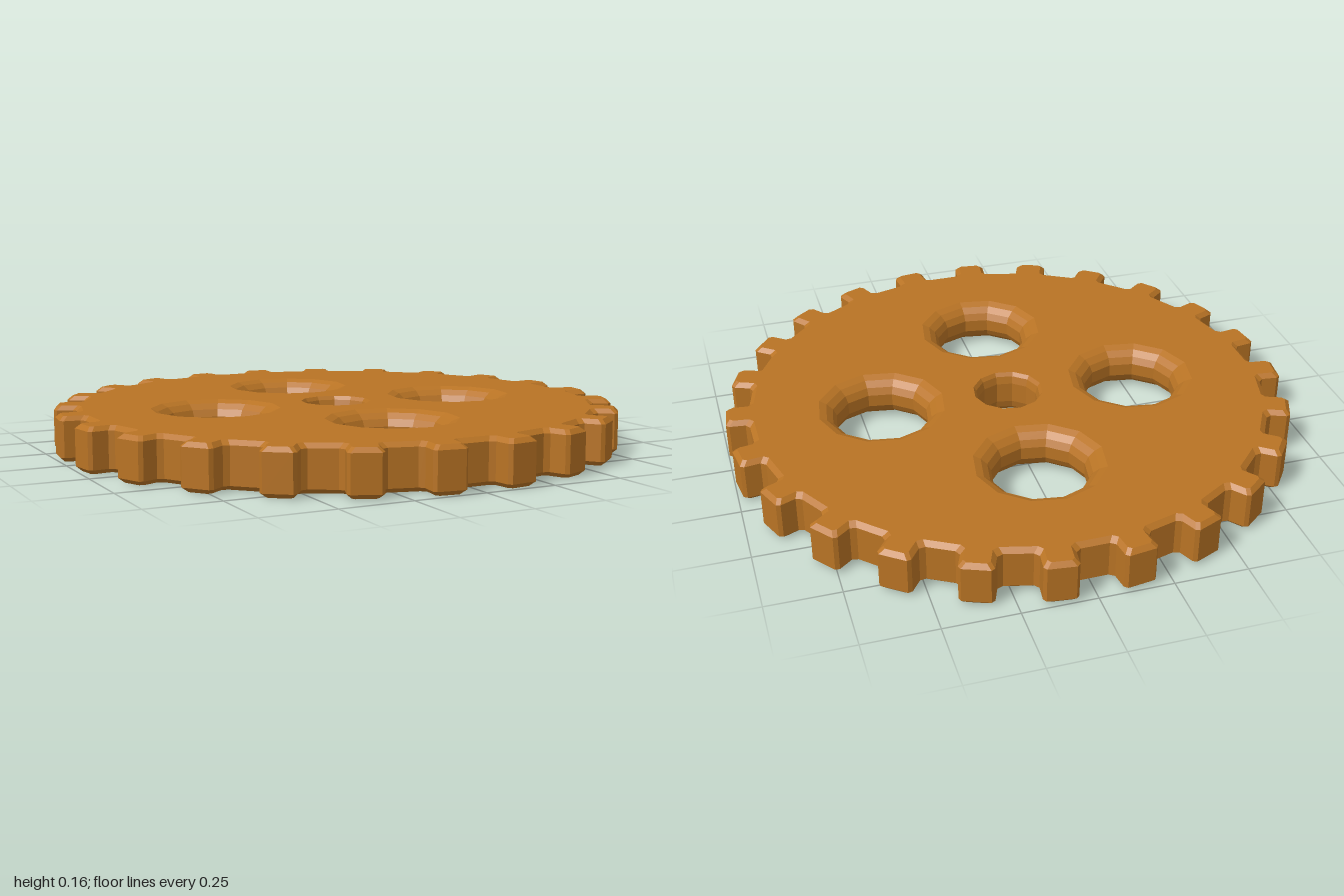
import * as THREE from 'three';

const HEIGHT = 0.155;
const TEETH = 24;
const SIDES = 12;
const deg = Math.PI / 180;

// Plan points are (x, v) with v = -z, counter-clockwise seen from above.
function circle(cx, cv, r) {
  const pts = [];
  for (let i = 0; i < SIDES; i++) {
    const a = (i / SIDES) * Math.PI * 2 + 0.1;
    pts.push(new THREE.Vector2(cx + r * Math.cos(a), cv + r * Math.sin(a)));
  }
  return pts;
}

// Toothed outline, shrunk by an inset for the chamfered edges
function gearOutline(inset) {
  const tip = 1 - inset, root = 0.917 - inset, w = 0.057 - inset;
  const half = [[root, w + 0.016], [root + 0.015, w], [tip - 0.012, w], [tip, w - 0.01]];
  const tooth = [
    ...half.map(([r, t]) => [r, -t]),
    ...half.slice().reverse(),
  ];
  const pts = [];
  for (let k = 0; k < TEETH; k++) {
    const a = ((k + 0.5) * 360 / TEETH + 0.7) * deg;
    for (const [r, t] of tooth) {
      pts.push(new THREE.Vector2(r, t).rotateAround(new THREE.Vector2(), a));
    }
  }
  return pts;
}

// Skin between successive rings { y, pts }: upward faces out, downward faces in
function loft(rings) {
  const pos = [];
  const put = (ring, i) => {
    const p = ring.pts[i % ring.pts.length];
    pos.push(p.x, ring.y, -p.y);
  };
  for (let r = 0; r + 1 < rings.length; r++) {
    const a = rings[r], b = rings[r + 1];
    for (let i = 0; i < a.pts.length; i++) {
      put(a, i); put(a, i + 1); put(b, i + 1);
      put(a, i); put(b, i + 1); put(b, i);
    }
  }
  const g = new THREE.BufferGeometry();
  g.setAttribute('position', new THREE.Float32BufferAttribute(pos, 3));
  g.computeVertexNormals();
  return g;
}

export function createModel() {
  const group = new THREE.Group();
  group.name = 'gearWheel';
  const bronze = new THREE.MeshStandardMaterial({ color: 0xb87324 });
  bronze.name = 'bronze';
  bronze.flatShading = true;

  const add = (name, geometry) => {
    const mesh = new THREE.Mesh(geometry, bronze);
    mesh.name = name;
    group.add(mesh);
    return mesh;
  };

  // Toothed rim with chamfered top and bottom edges
  const c = 0.015;
  add('toothedRim', loft([
    { y: 0, pts: gearOutline(c) },
    { y: c, pts: gearOutline(0) },
    { y: HEIGHT - c, pts: gearOutline(0) },
    { y: HEIGHT, pts: gearOutline(c) },
  ]));

  // Holes: profile is [radius, depth below the face], mirrored at mid height
  const wideProfile = [[0.226, 0], [0.2, 0.011], [0.178, 0.03], [0.165, 0.055]];
  const axleProfile = [[0.125, 0], [0.115, 0.013], [0.108, 0.04]];
  const holes = [{ name: 'axleHole', x: 0, v: 0, profile: axleProfile }];
  for (let k = 0; k < 4; k++) {
    const a = (k * 90 - 2.8) * deg;
    holes.push({
      name: 'lighteningHole' + (k + 1),
      x: 0.458 * Math.cos(a), v: 0.458 * Math.sin(a), profile: wideProfile,
    });
  }
  for (const { name, x, v, profile } of holes) {
    const upper = profile.map(([r, d]) => ({ y: HEIGHT - d, pts: circle(x, v, r) }));
    const lower = profile.map(([r, d]) => ({ y: d, pts: circle(x, v, r) })).reverse();
    add(name, loft([...upper, ...lower]));
  }

  // Flat faces, pierced by the mouths of the holes
  const face = new THREE.Shape(gearOutline(c));
  for (const { x, v, profile } of holes) {
    face.holes.push(new THREE.Path(circle(x, v, profile[0][0])));
  }
  add('topFace', new THREE.ShapeGeometry(face).rotateX(-Math.PI / 2).translate(0, HEIGHT, 0));

  const under = new THREE.ShapeGeometry(face).rotateX(-Math.PI / 2);
  under.setIndex(Array.from(under.index.array).reverse());
  under.computeVertexNormals();
  add('bottomFace', under);

  return group;
}
